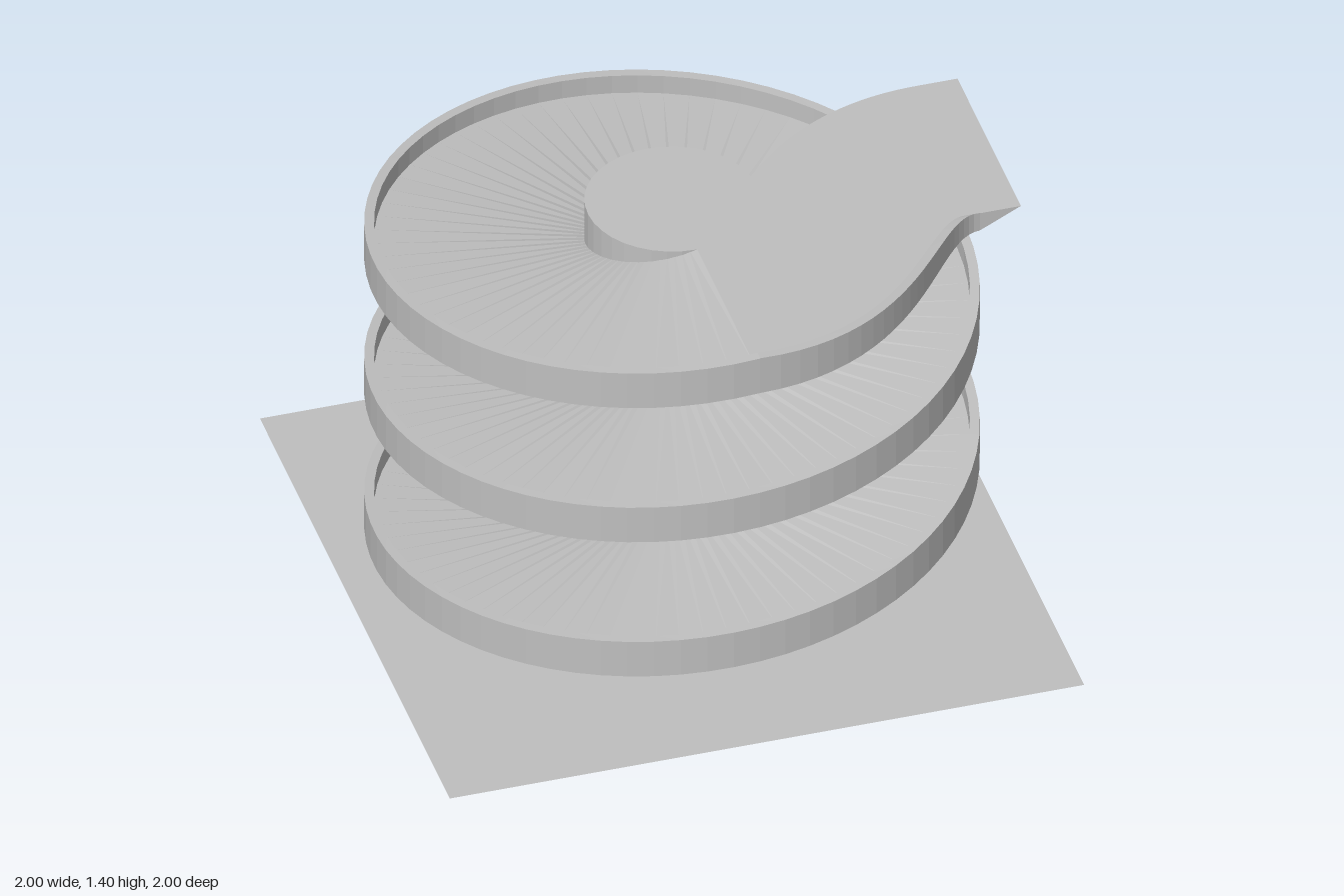
import * as THREE from 'three';

const DECK = 0.065;            // deck thickness, also kerb height above it
const PITCH = 0.506;           // rise per turn
const TURNS = 2.5;
const BOTTOM = PITCH * TURNS;  // underside of the exit slab
const TOP = BOTTOM + DECK;
const R_COLUMN = 0.265, R_OUT = 0.93, R_IN = 0.9;

// Closed solid through a list of cross-sections; end caps fan from the first point
function loft(sections) {
  const pos = [];
  const tri = (a, b, c) => pos.push(...a, ...b, ...c);
  const n = sections[0].length;
  for (let s = 0; s < sections.length - 1; s++) {
    const p = sections[s], q = sections[s + 1];
    for (let i = 0; i < n; i++) {
      const j = (i + 1) % n;
      tri(p[j], p[i], q[i]);
      tri(p[j], q[i], q[j]);
    }
  }
  const first = sections[0], last = sections[sections.length - 1];
  for (let i = 1; i < n - 1; i++) {
    tri(first[0], first[i], first[i + 1]);
    tri(last[0], last[i + 1], last[i]);
  }
  const g = new THREE.BufferGeometry();
  g.setAttribute('position', new THREE.Float32BufferAttribute(pos, 3));
  g.computeVertexNormals();
  return g;
}

// Triangular prism: outline in x/y, running along z from z0 to z1
function wedge(points, z0, z1) {
  const shape = new THREE.Shape(points.map(([x, y]) => new THREE.Vector2(x, y)));
  return new THREE.ExtrudeGeometry(shape, { depth: z1 - z0, bevelEnabled: false }).translate(0, 0, z0);
}

export function createModel() {
  const group = new THREE.Group();
  const concrete = new THREE.MeshStandardMaterial({ color: 0xbfbfbf, flatShading: true });
  concrete.name = 'concrete grey';
  concrete.side = THREE.DoubleSide;
  const add = (name, geometry) => {
    const mesh = new THREE.Mesh(geometry, concrete);
    mesh.name = name;
    group.add(mesh);
  };

  // Ground sheet
  add('base', new THREE.PlaneGeometry(2, 2).rotateX(-Math.PI / 2));

  // Central column
  add('column', new THREE.CylinderGeometry(R_COLUMN, R_COLUMN, TOP, 36).translate(0, TOP / 2, 0));

  // Spiral deck with its outer kerb, one L-shaped profile swept up a helix
  const profile = [[R_IN, DECK], [0.24, DECK], [0.24, 0], [R_OUT, 0], [R_OUT, 2 * DECK], [R_IN, 2 * DECK]];
  const steps = 72 * TURNS;
  const rings = [];
  for (let i = 0; i <= steps; i++) {
    const turn = (i / steps) * TURNS, a = turn * Math.PI * 2;
    rings.push(profile.map(([r, y]) => [-r * Math.sin(a), y + turn * PITCH, -r * Math.cos(a)]));
  }
  add('spiralRamp', loft(rings));

  // Sloped lip leading onto the lowest turn
  add('entryLip', wedge([[0, 0], [0.26, 0], [0, DECK]], -R_OUT, -0.25));

  // Level exit slab, curving out from the top of the spiral
  const slab = new THREE.Shape();
  slab.moveTo(0, 0);
  slab.lineTo(0.255, -0.035);
  slab.quadraticCurveTo(0.52, -0.335, 0.87, -0.335);
  slab.lineTo(0.87, 0.335);
  slab.bezierCurveTo(0.72, 0.335, 0.55, R_OUT, 0, R_OUT);
  slab.closePath();
  add('exitSlab', new THREE.ExtrudeGeometry(slab, { depth: DECK, bevelEnabled: false, curveSegments: 24 })
    .rotateX(Math.PI / 2).translate(0, TOP, 0));

  // Tapered end of the exit slab
  add('exitLip', wedge([[0.87, BOTTOM], [1, TOP], [0.87, TOP]], -0.335, 0.335));

  // Kerb along the exit, fading down to the slab
  const v = (x, y) => new THREE.Vector2(x, y);
  const outer = new THREE.CubicBezierCurve(v(0, R_OUT), v(0.55, R_OUT), v(0.72, 0.335), v(0.87, 0.335));
  const inner = new THREE.CubicBezierCurve(v(0, R_IN), v(0.52, R_IN), v(0.69, 0.335), v(0.83, 0.335));
  const kerb = [];
  for (let i = 0; i <= 24; i++) {
    const t = i / 24, o = outer.getPoint(t), n = inner.getPoint(t);
    const y = TOP + 0.001 + DECK * (1 - t);
    kerb.push([[n.x, TOP, n.y], [o.x, TOP, o.y], [o.x, y, o.y], [n.x, y, n.y]]);
  }
  add('exitKerb', loft(kerb));

  return group;
}
